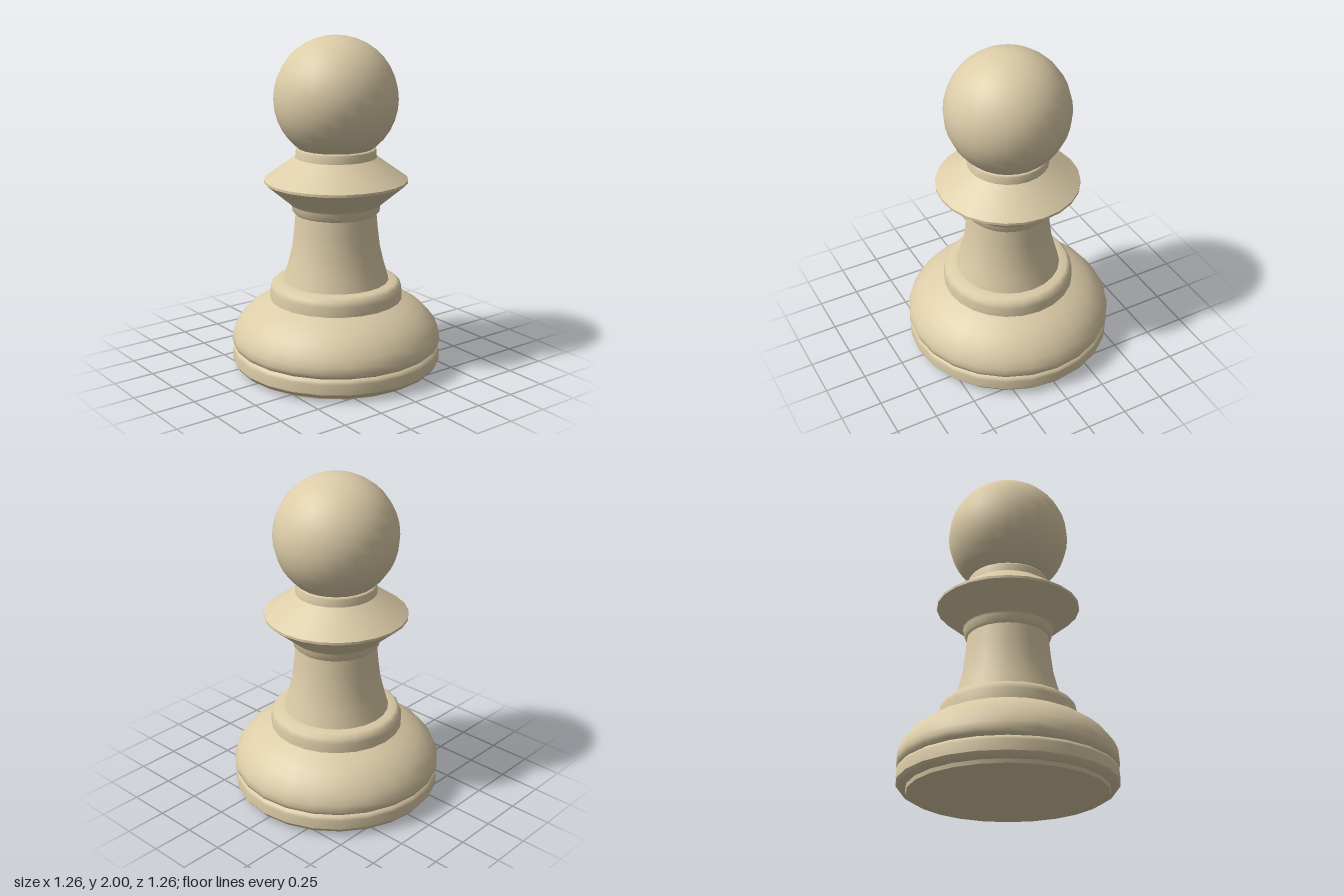
import * as THREE from 'three';

const SIDES = 24;

export function createModel() {
  const model = new THREE.Group();
  model.name = 'pawn';
  const ivory = new THREE.MeshStandardMaterial({ color: 0xdccca8 });
  ivory.name = 'ivory';

  function add(name, geometry) {
    const mesh = new THREE.Mesh(geometry, ivory);
    mesh.name = name;
    model.add(mesh);
    return mesh;
  }

  // Turned part from a bottom-to-top list of [radius, height]
  function turned(name, profile) {
    const points = profile.map(([r, y]) => new THREE.Vector2(r, y));
    return add(name, new THREE.LatheGeometry(points, SIDES));
  }

  // Base: underside, recessed foot, rim band and rounded dome
  turned('underside', [[0, 0], [0.57, 0]]);
  turned('foot', [[0.57, 0], [0.575, 0.022]]);
  turned('footStep', [[0.575, 0.022], [0.61, 0.024], [0.63, 0.05]]);
  turned('rimBand', [[0.63, 0.05], [0.63, 0.11], [0.622, 0.128], [0.608, 0.137]]);
  turned('baseDome', [
    [0.608, 0.137], [0.625, 0.15], [0.632, 0.175], [0.63, 0.21], [0.61, 0.26],
    [0.57, 0.315], [0.52, 0.36], [0.46, 0.4], [0.4, 0.428],
  ]);
  turned('baseStep', [
    [0.4, 0.425], [0.398, 0.485], [0.388, 0.515], [0.365, 0.535], [0.31, 0.54],
  ]);

  // Stem tapering up to the collar
  turned('stem', [
    [0.318, 0.54], [0.292, 0.63], [0.267, 0.73], [0.252, 0.85], [0.243, 0.95],
  ]);
  turned('stemRing', [[0.243, 0.95], [0.259, 0.965], [0.265, 1.0], [0.27, 1.01]]);

  // Flared collar and neck
  turned('collarUnderside', [[0.27, 1.01], [0.35, 1.078], [0.427, 1.143]]);
  turned('collarEdge', [[0.427, 1.143], [0.427, 1.158]]);
  turned('collarTop', [[0.427, 1.158], [0.34, 1.22], [0.242, 1.29]]);
  turned('neck', [[0.242, 1.29], [0.238, 1.335], [0.23, 1.345], [0.2, 1.347]]);

  // Head
  add('head', new THREE.SphereGeometry(0.366, SIDES, 18)).position.y = 1.634;

  return model;
}
